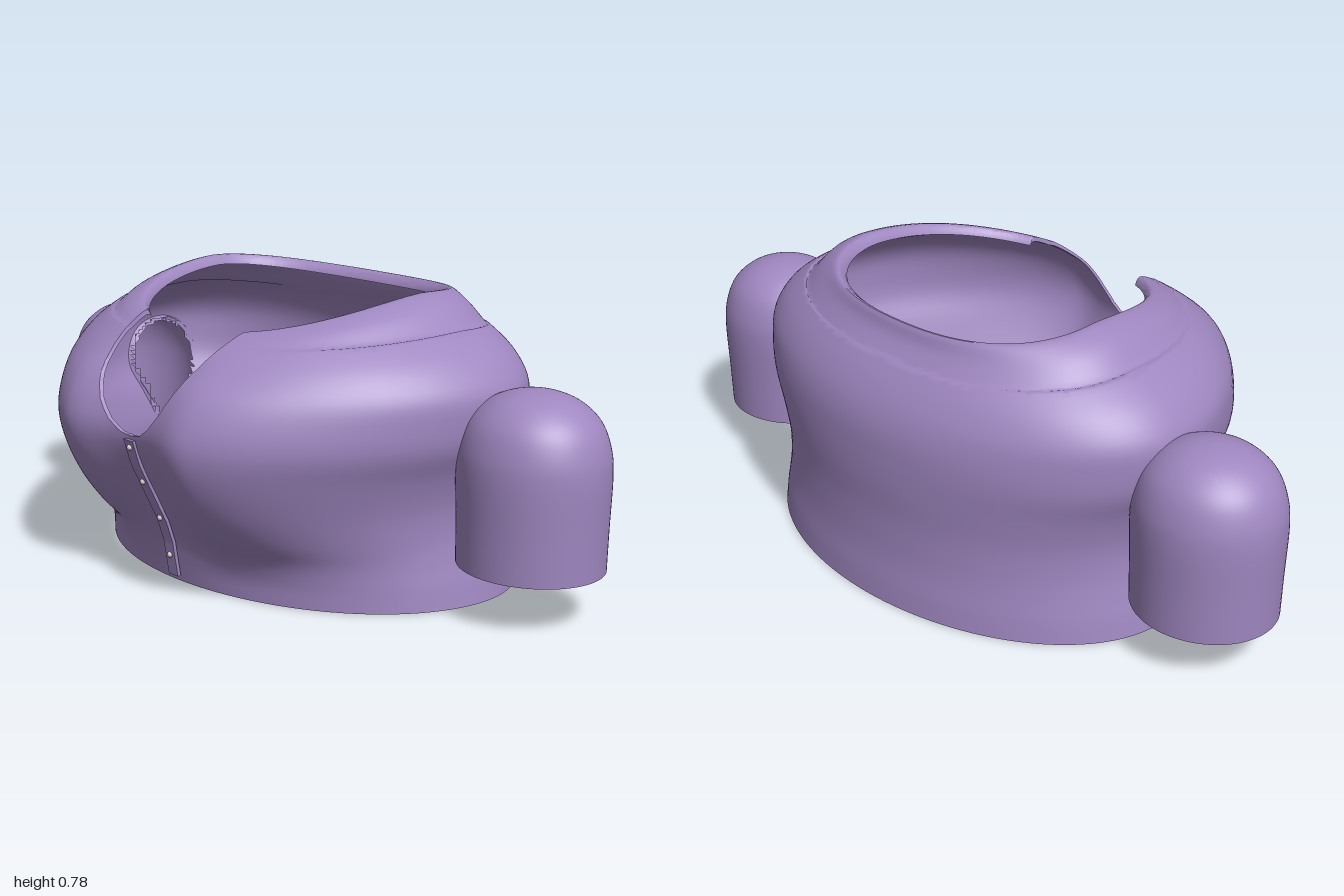
import * as THREE from 'three';
import { toCreasedNormals } from 'three/addons/utils/BufferGeometryUtils.js';

const CZ = -0.12; // z of the shoulder line
const ARM_X = 0.8;
const ARM_WIDE = 1.08; // sleeves are slightly wider in x than in z
const THICK = 0.012;

// Cross-sections from hem to collar lip:
// [y side, y front, y back, half width, front z, back z, bust, squareness]
const RINGS = [
  [0, 0, 0, 0.665, 0.37, -0.555, 0, 1],
  [0.06, 0.06, 0.06, 0.655, 0.38, -0.55, 0, 1],
  [0.12, 0.12, 0.12, 0.642, 0.39, -0.543, 0.02, 1],
  [0.18, 0.18, 0.18, 0.632, 0.41, -0.54, 0.06, 1],
  [0.26, 0.26, 0.26, 0.632, 0.45, -0.54, 0.085, 1],
  [0.35, 0.35, 0.35, 0.655, 0.495, -0.545, 0.087, 1],
  [0.43, 0.43, 0.43, 0.69, 0.52, -0.545, 0.078, 1],
  [0.5, 0.5, 0.5, 0.7, 0.505, -0.54, 0.078, 1],
  [0.57, 0.57, 0.56, 0.693, 0.465, -0.523, 0.073, 0.98],
  [0.64, 0.625, 0.615, 0.64, 0.42, -0.493, 0.05, 0.94],
  [0.695, 0.666, 0.66, 0.56, 0.385, -0.46, 0.025, 0.9],
  [0.7, 0.672, 0.668, 0.538, 0.376, -0.452, 0.02, 0.88],
  [0.752, 0.684, 0.71, 0.485, 0.36, -0.42, 0.01, 0.86],
  [0.78, 0.692, 0.748, 0.42, 0.345, -0.405, 0, 0.85],
  [0.765, 0.683, 0.732, 0.4, 0.335, -0.382, 0, 0.85],
];

// Height of the front neckline at a given distance from the centre line
const NECK = [[0, 0.428], [0.04, 0.435], [0.08, 0.46], [0.12, 0.505], [0.15, 0.56], [0.175, 0.625], [0.2, 0.7], [0.21, 1]];

function lerpTable(table, x, kx, ky) {
  for (let i = 1; i < table.length; i++) {
    const a = table[i - 1], b = table[i];
    if (x <= b[kx]) return a[ky] + (b[ky] - a[ky]) * (x - a[kx]) / (b[kx] - a[kx]);
  }
  return table[table.length - 1][ky];
}

const power = (v, e) => Math.sign(v) * Math.abs(v) ** e;

function ringPoint([ys, yf, yb, a, f, b, bust, e], angle) {
  const s = Math.sin(angle), c = Math.cos(angle);
  const x = a * power(s, e);
  const y = ys + ((c > 0 ? yf : yb) - ys) * Math.abs(c) ** 1.3;
  let z = CZ + power(c, e) * (c > 0 ? f - CZ : CZ - b);
  if (c > 0) {
    const d = Math.abs(x) - 0.25;
    z += bust * Math.exp(-((d / (d > 0 ? 0.28 : 0.15)) ** 2)) * Math.min(1, c * 2);
  }
  return new THREE.Vector3(x, y, z);
}

// Drops every triangle whose centre passes the test
function cull(geometry, test) {
  const p = geometry.attributes.position, n = geometry.attributes.normal;
  const pos = [], nor = [], c = new THREE.Vector3(), v = new THREE.Vector3();
  for (let i = 0; i < p.count; i += 3) {
    c.set(0, 0, 0);
    for (let k = 0; k < 3; k++) c.add(v.fromBufferAttribute(p, i + k));
    if (test(c.divideScalar(3))) continue;
    for (let k = 0; k < 3; k++) {
      pos.push(p.getX(i + k), p.getY(i + k), p.getZ(i + k));
      nor.push(n.getX(i + k), n.getY(i + k), n.getZ(i + k));
    }
  }
  const out = new THREE.BufferGeometry();
  out.setAttribute('position', new THREE.Float32BufferAttribute(pos, 3));
  out.setAttribute('normal', new THREE.Float32BufferAttribute(nor, 3));
  return out;
}

// Bodice shell: vertical columns cut at the neckline, with an inner lining
function bodiceGeometry() {
  const cols = 240, rows = 56, positions = [], index = [];
  for (let i = 0; i < cols; i++) {
    const u = (i / cols) * Math.PI * 2;
    const angle = u - 0.5 * Math.sin(u); // denser at the front
    const curve = new THREE.CatmullRomCurve3(RINGS.map((r) => ringPoint(r, angle)), false, 'catmullrom', 0.5);
    let end = 1;
    if (Math.cos(angle) > 0.6) {
      for (let t = 0.3; t < 1; t += 0.002) {
        const q = curve.getPoint(t);
        if (q.y > lerpTable(NECK, Math.abs(q.x), 0, 1)) { end = t; break; }
      }
    }
    const outer = [], inner = [];
    for (let j = 0; j <= rows; j++) {
      const t = Math.min(j / rows, end), q = curve.getPoint(t);
      const down = THREE.MathUtils.smoothstep(t, 0.55, 0.8);
      outer.push(q);
      inner.unshift(new THREE.Vector3(
        q.x - THICK * Math.sin(angle) * (1 - 0.6 * down),
        q.y - THICK * down,
        q.z - THICK * Math.cos(angle) * (1 - 0.6 * down)));
    }
    for (const q of [...outer, ...inner, outer[0]]) positions.push(q.x, q.y, q.z);
  }
  const n = rows * 2 + 3;
  for (let i = 0; i < cols; i++) {
    const a = i * n, b = ((i + 1) % cols) * n;
    for (let j = 0; j < n - 1; j++) {
      // matching diagonals keep the lining parallel to the outside
      if (j < rows) index.push(a + j, b + j, b + j + 1, a + j, b + j + 1, a + j + 1);
      else index.push(a + j, b + j, a + j + 1, b + j, b + j + 1, a + j + 1);
    }
  }
  const g = new THREE.BufferGeometry();
  g.setAttribute('position', new THREE.Float32BufferAttribute(positions, 3));
  g.setIndex(index);
  // armholes, hidden under the sleeves
  return cull(toCreasedNormals(g, 0.8), (c) => c.y > 0.16
    && Math.hypot((Math.abs(c.x) - ARM_X) / ARM_WIDE, c.z - CZ, Math.max(0, c.y - 0.41)) < 0.173);
}

// Domed sleeve with a lining, open at the cuff and towards the body
function sleeveGeometry(side) {
  const outer = new THREE.SplineCurve([[0.181, 0.135], [0.183, 0.25], [0.186, 0.38], [0.179, 0.45], [0.155, 0.513],
    [0.11, 0.558], [0.055, 0.582], [0, 0.589]].map(([x, y]) => new THREE.Vector2(x, y))).getPoints(36);
  const inner = outer.map((p) => new THREE.Vector2(p.x * 0.95, 0.135 + (p.y - 0.135) * 0.98)).reverse();
  return [[inner[36], ...outer], inner].map((profile) => {
    const part = new THREE.LatheGeometry(profile, 80);
    part.scale(ARM_WIDE, 1, 1);
    part.translate(side * ARM_X, 0, CZ);
    return cull(toCreasedNormals(part, 0.8), (c) => {
      const a = lerpTable(RINGS, c.y, 0, 3);
      return (c.x / a) ** 2 + ((c.z - CZ) / 0.55) ** 2 < 0.95;
    });
  });
}

const frontZ = (y) => lerpTable(RINGS, y, 0, 4) + 0.013;

// Button strip following the centre front
function placketGeometry() {
  const g = new THREE.BoxGeometry(0.038, 0.4, 0.01, 2, 32, 1);
  const p = g.attributes.position;
  for (let i = 0; i < p.count; i++) {
    const y = p.getY(i) + 0.22;
    p.setXYZ(i, p.getX(i), y, p.getZ(i) + frontZ(y));
  }
  return toCreasedNormals(g, 0.6);
}

export function createModel() {
  const model = new THREE.Group();
  model.name = 'croppedBlouse';
  const cloth = new THREE.MeshStandardMaterial({ color: 0x9f87c0, side: THREE.DoubleSide });
  const pearl = new THREE.MeshStandardMaterial({ color: 0xcccccc });
  const add = (name, geometry, material = cloth) => {
    const mesh = new THREE.Mesh(geometry, material);
    mesh.name = name;
    model.add(mesh);
    return mesh;
  };

  add('bodice', bodiceGeometry());
  for (const [name, side] of [['left', 1], ['right', -1]]) {
    const [shell, lining] = sleeveGeometry(side);
    add(name + 'Sleeve', shell);
    add(name + 'SleeveLining', lining);
  }
  add('placket', placketGeometry());

  // Buttons down the strip
  const button = new THREE.SphereGeometry(0.008, 16, 10);
  [0.08, 0.19, 0.3, 0.4].forEach((y, i) => {
    add('button' + (i + 1), button, pearl).position.set(0, y, frontZ(y) + 0.006);
  });
  return model;
}
